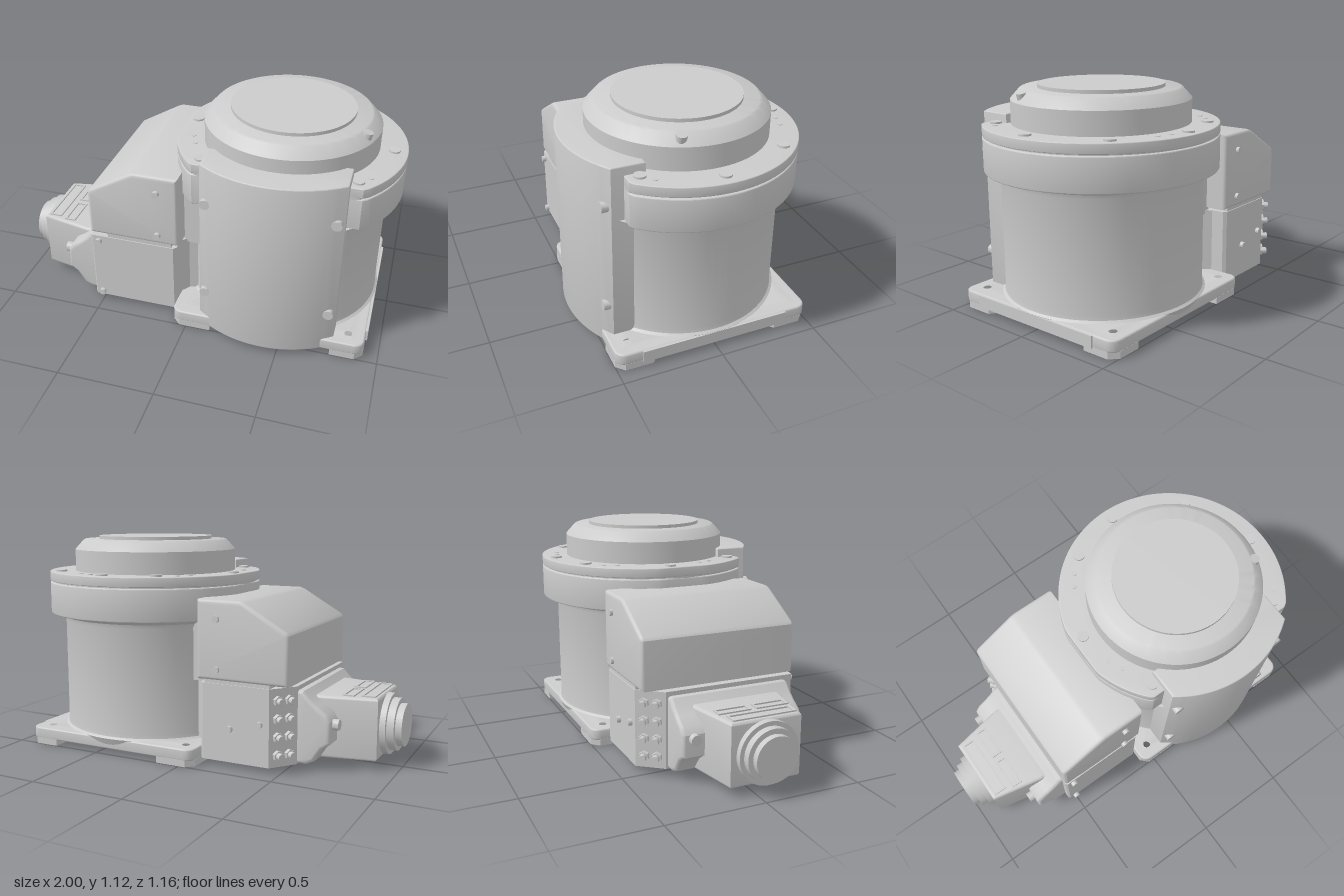
import * as THREE from 'three';
import { toCreasedNormals } from 'three/addons/utils/BufferGeometryUtils.js';

const CX = 0.42; // axis of the round housing

export function createModel() {
  const root = new THREE.Group();
  const mat = new THREE.MeshStandardMaterial({ color: 0xcccccc });
  const UP = new THREE.Vector3(0, 1, 0);

  const add = (name, geo, crease = 0.5) => {
    const mesh = new THREE.Mesh(toCreasedNormals(geo, crease), mat);
    mesh.name = name;
    root.add(mesh);
    return mesh;
  };
  const extrude = (shape, depth, bevel) => {
    const g = new THREE.ExtrudeGeometry(shape, {
      depth: depth - 2 * bevel, bevelEnabled: bevel > 0, bevelSize: bevel,
      bevelThickness: bevel, bevelOffset: -bevel, bevelSegments: 4, curveSegments: 16,
    });
    return g.translate(0, 0, bevel);
  };
  // outline in plan, [x, z] corners, raised from y0 to y1; holes are [x, z, radius]
  const plan = (name, pts, y0, y1, bevel = 0, holes = []) => {
    const s = new THREE.Shape(pts.map(([x, z]) => new THREE.Vector2(x, -z)));
    for (const [x, z, r] of holes) s.holes.push(new THREE.Path().absarc(x, -z, r, 0, Math.PI * 2, true));
    return add(name, extrude(s, y1 - y0, bevel).rotateX(-Math.PI / 2).translate(0, y0, 0));
  };
  // outline in elevation, [x, y] corners, spanning z0 to z1
  const side = (name, pts, z0, z1, bevel = 0) => {
    const s = new THREE.Shape(pts.map(([x, y]) => new THREE.Vector2(x, y)));
    return add(name, extrude(s, z1 - z0, bevel).translate(0, 0, z0));
  };
  const rod = (name, [x, y, z], dir, r, len, sides = 20) => {
    const mesh = add(name, new THREE.CylinderGeometry(r, r, len, sides).translate(0, len / 2, 0));
    mesh.position.set(x, y, z);
    mesh.quaternion.setFromUnitVectors(UP, new THREE.Vector3(...dir).normalize());
  };
  const box = (name, x0, x1, y0, y1, z0, z1) => add(name,
    new THREE.BoxGeometry(x1 - x0, y1 - y0, z1 - z0)
      .translate((x0 + x1) / 2, (y0 + y1) / 2, (z0 + z1) / 2));
  const lathe = (name, pts) => add(name, new THREE.LatheGeometry(
    pts.map(([r, y]) => new THREE.Vector2(r, y)), 96).translate(CX, 0, 0));
  const roundRect = (x0, x1, z0, z1, r) => {
    const pts = [];
    [[x1 - r, z1 - r], [x0 + r, z1 - r], [x0 + r, z0 + r], [x1 - r, z0 + r]].forEach(([x, z], q) => {
      for (let i = 0; i <= 6; i++) {
        const a = (q + i / 6) * Math.PI / 2;
        pts.push([x + r * Math.cos(a), z + r * Math.sin(a)]);
      }
    });
    return pts;
  };

  // base plate with through-holes and foot pads
  const feet = [[0, -0.42], [0, 0.42], [0.84, -0.42], [0.84, 0.42]];
  plan('basePlate', roundRect(-0.075, 0.925, -0.5, 0.5, 0.05), 0.03, 0.09, 0.008,
    feet.map(([x, z]) => [x, z, 0.028]));
  box('baseSideStrip', 0.8, 0.935, 0.028, 0.088, -0.375, 0.375);
  for (const [x, z] of feet) {
    const s = Math.sign(z), e = x ? 1 : -1;
    const xo = x ? 0.925 : -0.075, xi = x ? 0.76 : 0.13;
    plan('footPad', [[xi, s * 0.5], [xo - e * 0.04, s * 0.5], [xo, s * 0.46], [xo, s * 0.32],
      [xo - e * 0.04, s * 0.29], [xi + e * 0.05, s * 0.33], [xi, s * 0.39]], 0, 0.035, 0, [[x, z, 0.028]]);
  }
  for (const [x, z] of [[0.18, 0.3], [0.66, 0.3], [0.18, -0.3], [0.66, -0.1], [-0.36, 0.3], [-0.36, -0.3]])
    rod('undersidePin', [x, 0.01, z], [0, 1, 0], x < 0 ? 0.03 : 0.017, 0.03);

  // round housing and rotating top
  lathe('housing', [[0, 0.031], [0.49, 0.031], [0.515, 0.09], [0.503, 0.1], [0.5, 0.12],
    [0.5, 0.67], [0.506, 0.69], [0.525, 0.705], [0.55, 0.715], [0, 0.72]]);
  lathe('turntable', [[0, 0.92], [0.44, 0.92], [0.44, 1.05], [0.395, 1.1], [0.385, 1.105], [0, 1.105]]);
  lathe('outputDisc', [[0, 1.1], [0.31, 1.1], [0.31, 1.122], [0, 1.122]]);
  rod('turntableStop', [0.79, 1.045, 0.15], [0.25, 1, 0], 0.026, 0.055);

  // flange rings, trimmed flat at the front and at the cable side
  const ring = (r) => Array.from({ length: 120 }, (_, i) => {
    const a = i / 120 * Math.PI * 2;
    return [Math.max(CX + r * Math.cos(a), -0.143), Math.min(r * Math.sin(a), 0.4)];
  });
  plan('flangeLower', ring(0.578), 0.71, 0.878, 0.006);
  plan('flangeGroove', ring(0.562), 0.87, 0.89);
  plan('flangeUpper', ring(0.578), 0.885, 0.935, 0.004);
  for (const [x, z] of [[0.42, -0.52], [0.15, -0.44], [-0.09, -0.06], [0.04, 0.34], [0.8, 0.34], [0.93, 0], [0.785, -0.37]])
    rod('flangeBolt', [x, 0.93, z], [0, 1, 0], 0.029, 0.014);
  for (const [x, z] of [[0.51, -0.49], [0.585, -0.47], [0.03, -0.31], [0.07, -0.37], [-0.06, 0.12], [-0.03, 0.19], [0.85, 0.29]])
    rod('flangePin', [x, 0.93, z], [0, 1, 0], 0.013, 0.008, 12);

  // curved front block
  const front = [[0.77, 0.39], [0.77, 0.3], [0.07, 0.3], [0.07, 0.39]];
  for (let i = 0; i <= 32; i++) {
    const x = 0.07 + 0.7 * i / 32;
    front.push([x, Math.sqrt(0.578 ** 2 - (x - CX) ** 2)]);
  }
  plan('frontBlock', front, 0.03, 0.98, 0.006);
  for (const x of [0.105, 0.735]) for (const y of [0.25, 0.78])
    rod('frontBolt', [x, y, 0.45], [0, 0, 1], 0.026, 0.05);

  // side cabinet: lower box with a slanted rear corner, neck and sloping hood
  plan('cabinetLower', [[-0.545, 0.4], [-0.535, 0.41], [-0.09, 0.41], [-0.075, 0.395], [-0.07, 0.33],
    [-0.04, 0.29], [0.1, 0.25], [0.1, -0.25], [-0.04, -0.29], [-0.07, -0.33], [-0.075, -0.395],
    [-0.09, -0.41], [-0.45, -0.41], [-0.545, -0.29]], 0.03, 0.42);
  box('cabinetNeck', -0.45, -0.1, 0.41, 0.46, -0.405, 0.405);
  side('cabinetHood', [[-0.545, 0.435], [-0.545, 0.68], [-0.535, 0.695], [-0.315, 0.823], [-0.29, 0.832],
    [-0.06, 0.832], [-0.06, 0.435]], -0.415, 0.41, 0.02);
  box('hoodJoint', -0.08, 0.05, 0.4, 0.82, -0.3, 0.3);
  for (const s of [-1, 1])
    for (const [x, y] of [[-0.17, 0.49], [-0.17, 0.74], [-0.5, 0.39], [-0.5, 0.055], [-0.24, 0.2], [-0.4, 0.24]])
      if (s < 0 ? x > -0.45 : x < -0.45 || y > 0.4)
        rod('cabinetScrew', [x, y, s * 0.4], [0, 0, s], 0.017, 0.03);

  // hose fittings on the slanted corner
  for (let row = 0; row < 4; row++) for (const t of [0.28, 0.7]) {
    const p = [-0.545 + 0.095 * t, 0.09 + row * 0.09, -0.29 - 0.12 * t];
    rod('fittingNut', p, [-0.12, 0, -0.095], 0.026, 0.022, 6);
    rod('fittingTip', p, [-0.12, 0, -0.095], 0.018, 0.05, 16);
  }

  // cable connector: shroud, tapered body, gland
  side('connectorShroud', [[-0.53, 0.03], [-0.53, 0.4], [-0.57, 0.395], [-0.6, 0.36], [-0.64, 0.325], [-0.69, 0.29],
    [-0.71, 0.255], [-0.71, 0.145], [-0.67, 0.115], [-0.63, 0.05], [-0.59, 0.03]], -0.28, 0.37, 0.02);
  plan('connectorBody', [[-0.9, -0.13], [-0.9, 0.235], [-0.63, 0.29], [-0.55, 0.29], [-0.55, -0.18], [-0.63, -0.18]],
    0.045, 0.36, 0.015);
  const frame = (x0, x1, z0, z1) => {
    const w = 0.01;
    for (const [a, b, c, d] of [[x0, x1, z0, z0 + w], [x0, x1, z1 - w, z1], [x0, x0 + w, z0, z1], [x1 - w, x1, z0, z1]])
      box('bodyRib', a, b, 0.35, 0.367, c, d);
  };
  frame(-0.88, -0.81, -0.11, 0.22);
  frame(-0.78, -0.72, -0.13, 0.04);
  frame(-0.78, -0.72, 0.07, 0.24);
  rod('glandCollar', [-0.88, 0.2, 0.053], [-1, 0, 0], 0.155, 0.05, 48);
  rod('glandNut', [-0.92, 0.2, 0.053], [-1, 0, 0], 0.133, 0.047, 48);
  rod('glandEnd', [-0.96, 0.2, 0.053], [-1, 0, 0], 0.108, 0.04, 48);
  for (const z of [-0.22, 0.31]) rod('shroudScrew', [-0.69, 0.235, z], [-1, 0, 0], 0.027, 0.05);

  return root;
}
